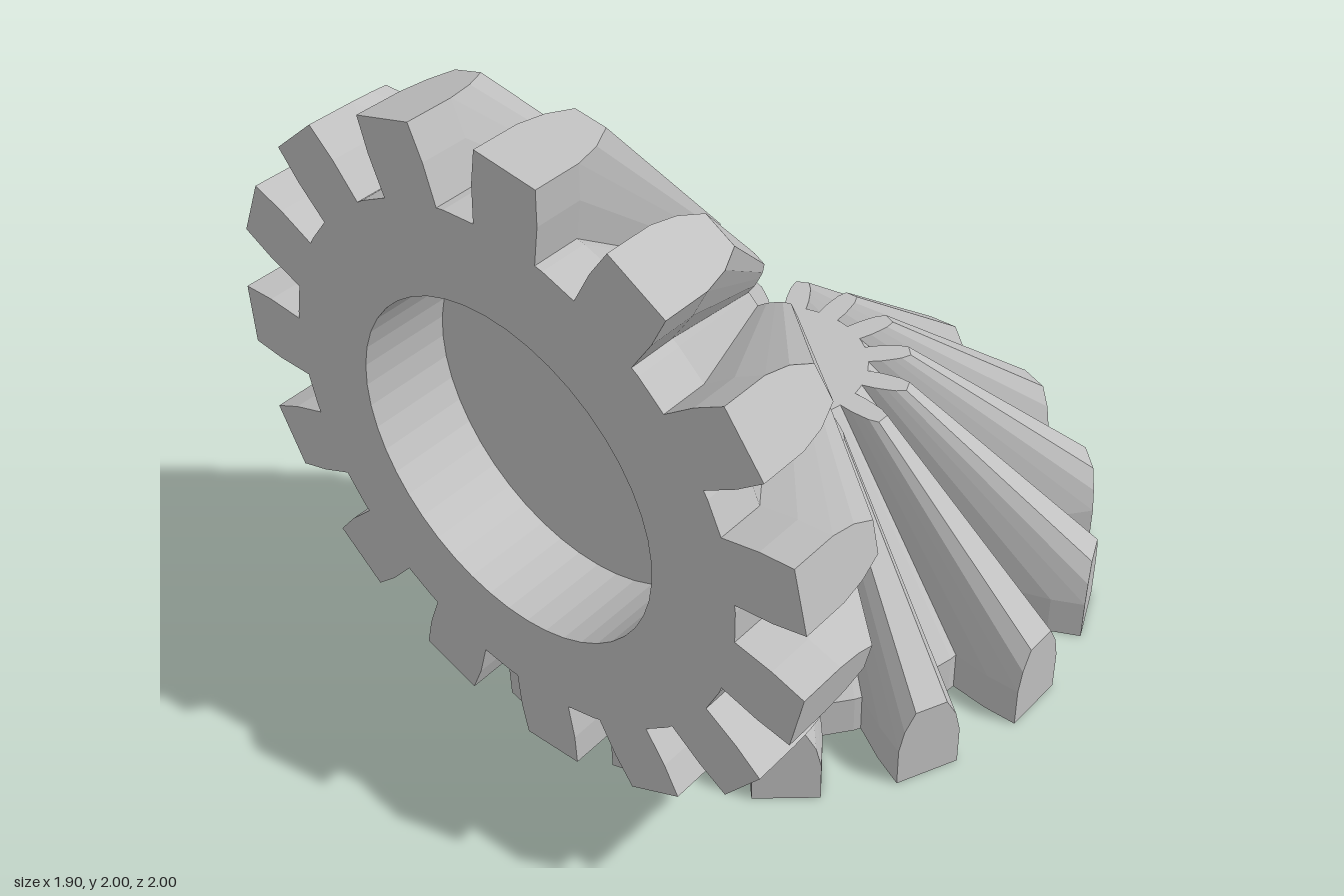
import * as THREE from 'three';

const TEETH = 15;
const TOP = 0.738;    // height of the small end face
const APEX = 1.05;    // height where all cone lines of a gear meet

// Slides a point along its line to the cone apex until it reaches the small end face
function toSmallEnd([r, y, h]) {
  const k = (APEX - TOP) / (APEX - y);
  return [r * k, TOP, h * k];
}

// One tooth pointing along +x; stations are [radius, height, half width]
function toothGeometry() {
  const base = [[0.7, 0, 0.0935], [0.85, 0, 0.1], [0.948, 0, 0.093]];
  const rim = [
    [0.7, 0.13, 0.0935], [0.85, 0.13, 0.1], [0.948, 0.13, 0.093],
    [0.948, 0.2, 0.078], [0.948, 0.262, 0.047],
  ];
  const end = rim.map(toSmallEnd);
  const pos = [];
  const at = ([r, y, h], side) => [r, y, h * side];
  const quad = (a, b, c, d) => pos.push(...a, ...b, ...c, ...a, ...c, ...d);

  // Faces between the two flanks: underside, outer end, top land, small end
  const outline = [...base, ...rim.slice(2), ...end.slice().reverse()];
  for (let i = 0; i < outline.length - 1; i++) {
    const p = outline[i], q = outline[i + 1];
    quad(at(p, 1), at(p, -1), at(q, -1), at(q, 1));
  }

  // Mirrored flanks
  const flank = (a, b, c, d) => {
    quad(at(a, 1), at(b, 1), at(c, 1), at(d, 1));
    quad(at(d, -1), at(c, -1), at(b, -1), at(a, -1));
  };
  for (let i = 0; i < 2; i++) flank(base[i], base[i + 1], rim[i + 1], rim[i]);
  for (let i = 0; i < 4; i++) flank(rim[i], rim[i + 1], end[i + 1], end[i]);

  const g = new THREE.BufferGeometry();
  g.setAttribute('position', new THREE.Float32BufferAttribute(pos, 3));
  g.computeVertexNormals();
  return g;
}

// Root cone with a round recess in its underside
function bodyGeometry() {
  const [topRadius] = toSmallEnd([0.745, 0.13, 0]);
  const profile = [
    [0, 0.26], [0.49, 0.26], [0.49, 0], [0.745, 0],
    [0.745, 0.13], [topRadius, TOP], [0, TOP],
  ].map(([x, y]) => new THREE.Vector2(x, y));
  return new THREE.LatheGeometry(profile, 45);
}

export function createModel() {
  const model = new THREE.Group();
  model.name = 'bevelGearPair';
  const steel = new THREE.MeshStandardMaterial({ color: 0xc0c0c0, flatShading: true });
  steel.name = 'light grey';

  const body = bodyGeometry();
  const tooth = toothGeometry();

  function makeGear(name, startDegrees) {
    const gear = new THREE.Group();
    gear.name = name;
    const hub = new THREE.Mesh(body, steel);
    hub.name = 'gearBody';
    gear.add(hub);
    for (let i = 0; i < TEETH; i++) {
      const t = new THREE.Mesh(tooth, steel);
      t.name = 'tooth';
      t.rotation.y = THREE.MathUtils.degToRad(startDegrees + (i * 360) / TEETH);
      gear.add(t);
    }
    model.add(gear);
    return gear;
  }

  // Gear lying flat, axis upright
  makeGear('lowerGear', -1).position.set(0, 0, -0.05);

  // Gear standing upright, recess facing the front
  const upper = makeGear('uprightGear', -11.1);
  upper.rotation.x = -Math.PI / 2;
  upper.position.set(0, APEX, 1);

  return model;
}
